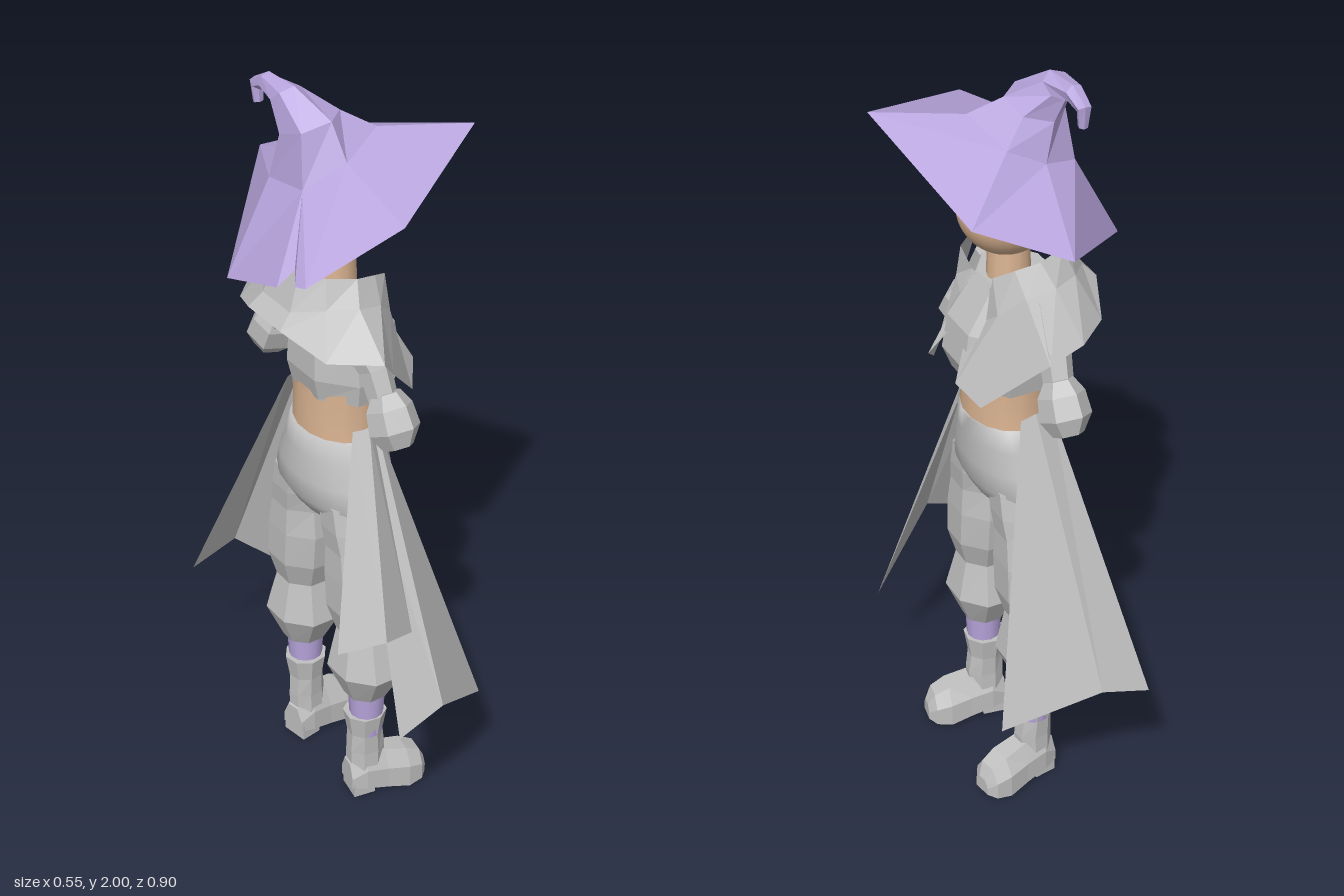
import * as THREE from 'three';

const mat = (name, color) => {
  const m = new THREE.MeshStandardMaterial({ color, side: THREE.DoubleSide });
  m.name = name;
  return m;
};

const ZC = -0.015; // the body's middle plane; the figure looks toward +x

// Loops of points joined into a skin; closed loops, optional end caps
function loft(rows, { closed = true, caps = true, smooth = false } = {}) {
  const n = rows[0].length, pos = rows.flat(2), idx = [];
  const cols = closed ? n : n - 1;
  for (let i = 0; i < rows.length - 1; i++)
    for (let j = 0; j < cols; j++) {
      const a = i * n + j, b = i * n + (j + 1) % n;
      idx.push(a, a + n, b, b, a + n, b + n);
    }
  if (caps && closed)
    for (let j = 1; j < n - 1; j++) {
      const t = (rows.length - 1) * n;
      idx.push(0, j, j + 1, t, t + j + 1, t + j);
    }
  let g = new THREE.BufferGeometry();
  g.setAttribute('position', new THREE.Float32BufferAttribute(pos, 3));
  g.setIndex(idx);
  if (!smooth) g = g.toNonIndexed();
  g.computeVertexNormals();
  return g;
}

// Level ellipse around (x, y, z)
const oval = (x, y, z, rx, rz, n = 8, turn = Math.PI / n) =>
  Array.from({ length: n }, (_, i) => {
    const a = turn + i / n * Math.PI * 2;
    return [x + rx * Math.cos(a), y, z + rz * Math.sin(a)];
  });

// Circle around c, square to dir
function hoop(c, dir, r, n = 6, turn = 0.3) {
  const q = new THREE.Quaternion().setFromUnitVectors(
    new THREE.Vector3(0, 1, 0), new THREE.Vector3(...dir).normalize());
  return oval(0, 0, 0, r, r, n, turn).map(p => {
    const v = new THREE.Vector3(...p).applyQuaternion(q);
    return [v.x + c[0], v.y + c[1], v.z + c[2]];
  });
}

// Half loop from front to back, completed by mirroring
const mirrored = half => [
  ...half.map(([x, y, d]) => [x, y, ZC + d]),
  ...half.slice().reverse().map(([x, y, d]) => [x, y, ZC - d]),
];

export function createModel() {
  const purple = mat('purple cloth', 0xb8a5dd);
  const grey = mat('grey cloth', 0xc0c0c0);
  const skin = mat('skin', 0xdcb593);
  const model = new THREE.Group();
  const add = (name, geo, material, parent = model) => {
    const m = new THREE.Mesh(geo, material);
    m.name = name;
    parent.add(m);
    return m;
  };

  // Head
  const head = add('head', new THREE.SphereGeometry(0.123, 32, 24), skin);
  head.scale.z = 0.93;
  head.position.set(0, 1.665, -0.026);

  // Hat: torn, tilted brim and a crown that curls over
  const p0 = [0.076, 1.885, 0.03], p1 = [-0.047, 1.85, 0.092], p2 = [-0.14, 1.79, 0.05];
  const p3 = [-0.146, 1.77, -0.084], p4 = [-0.05, 1.80, -0.125], p5 = [0.042, 1.845, -0.108];
  const brimOuter = [
    [0.273, 1.885, 0.14], [-0.05, 1.79, 0.325], [-0.26, 1.665, 0.246], [-0.265, 1.655, 0.21],
    [-0.233, 1.665, 0.16], [-0.276, 1.63, 0.152], [-0.27, 1.545, -0.077], [0.01, 1.69, -0.376],
    [0.2, 1.75, -0.248],
  ];
  const brimInner = [p0, p1, p2, p2, p2, p2, p3, p4, p5];
  add('hatBrim', loft([brimOuter, brimInner], { caps: false }), purple);
  add('hatCrown', loft([
    [p0, p1, p2, p3, p4, p5],
    hoop([-0.068, 1.91, -0.03], [-0.2, 1, -0.3], 0.075),
    hoop([-0.1, 1.97, -0.082], [-0.1, 0.8, -0.7], 0.038),
    hoop([-0.105, 1.975, -0.15], [0, 0, -1], 0.023),
    hoop([-0.107, 1.955, -0.192], [0, -0.8, -0.6], 0.018),
    hoop([-0.107, 1.91, -0.188], [0, -1, 0.2], 0.012),
  ]), purple);

  // Neck, cropped top and bare waist
  add('neck', new THREE.CylinderGeometry(0.05, 0.055, 0.14, 12).translate(-0.01, 1.51, ZC), skin);
  add('croppedTop', loft([
    oval(0.01, 1.21, ZC, 0.115, 0.15), oval(0.015, 1.27, ZC, 0.135, 0.16),
    oval(0.01, 1.36, ZC, 0.125, 0.15), oval(-0.03, 1.47, ZC, 0.09, 0.12),
  ]), grey);
  add('waist', loft([
    oval(0, 1.06, ZC, 0.105, 0.138, 16), oval(0, 1.15, ZC, 0.105, 0.128, 16),
    oval(0, 1.24, ZC, 0.1, 0.14, 16),
  ], { smooth: true, caps: false }), skin);

  // Shawl with a standing collar, long lapels in front
  add('shawl', loft([
    [[0.11, 1.36, 0.02], [0.17, 1.25, 0.075], [0.13, 1.2, 0.13], [0.0, 1.34, 0.235],
      [-0.06, 1.41, 0.285], [-0.16, 1.40, 0.19], [-0.21, 1.445, 0.07]],
    [[0.075, 1.41, 0.02], [0.085, 1.40, 0.07], [0.075, 1.43, 0.11], [0.02, 1.48, 0.15],
      [-0.05, 1.5, 0.165], [-0.12, 1.5, 0.13], [-0.175, 1.48, 0.06]],
    [[0.055, 1.46, 0.02], [0.06, 1.47, 0.055], [0.075, 1.52, 0.085], [0.03, 1.54, 0.11],
      [-0.03, 1.555, 0.125], [-0.1, 1.565, 0.1], [-0.137, 1.58, 0.045]],
  ].map(mirrored), { caps: false }), grey);

  // Trousers: smooth hips
  add('hips', loft([
    oval(-0.01, 0.87, ZC, 0.09, 0.175, 20), oval(-0.012, 0.92, ZC, 0.118, 0.2, 20),
    oval(-0.01, 0.98, ZC, 0.122, 0.18, 20), oval(-0.005, 1.04, ZC, 0.114, 0.155, 20),
    oval(0, 1.1, ZC, 0.11, 0.14, 20),
  ], { smooth: true }), grey);

  for (const s of [1, -1]) {
    const side = s > 0 ? 'first' : 'second';
    const z = d => ZC + s * d;

    // Puffed trouser leg: distance from middle, height, depth, width
    const tiers = [
      [0.147, 0.335, 0.058, 0.058], [0.147, 0.43, 0.1, 0.112], [0.142, 0.545, 0.075, 0.08],
      [0.138, 0.62, 0.098, 0.104], [0.132, 0.72, 0.098, 0.108], [0.125, 0.8, 0.094, 0.092],
      [0.113, 0.86, 0.1, 0.09], [0.1, 0.93, 0.1, 0.085],
    ];
    add(side + 'TrouserLeg', loft(tiers.map(([d, y, rx, rz]) => oval(-0.012, y, z(d), rx, rz))), grey);
    add(side + 'Stocking', new THREE.CylinderGeometry(0.05, 0.042, 0.16, 12)
      .translate(-0.01, 0.28, z(0.147)), purple);

    // Boot: shaft, foot and heel, toes turned out
    const boot = new THREE.Group();
    boot.name = side + 'Boot';
    boot.position.set(-0.012, 0, z(0.143));
    boot.rotation.y = -s * 0.17;
    model.add(boot);
    add('bootShaft', loft([
      oval(0, 0.06, 0, 0.05, 0.045), oval(0.002, 0.14, 0, 0.052, 0.043),
      oval(0, 0.2, 0, 0.047, 0.046), oval(0, 0.265, 0, 0.058, 0.056),
    ]), grey, boot);
    const section = ([x, low, h, w]) => [[x, low, w], [x, h * 0.6, w], [x, h, w * 0.5],
      [x, h, -w * 0.5], [x, h * 0.6, -w], [x, low, -w]];
    add('bootFoot', loft([
      [-0.05, 0.03, 0.1, 0.035], [-0.01, 0.025, 0.14, 0.046], [0.05, 0.012, 0.125, 0.048],
      [0.11, 0, 0.11, 0.055], [0.15, 0.005, 0.09, 0.046], [0.168, 0.012, 0.055, 0.025],
    ].map(section)), grey, boot);
    add('bootHeel', new THREE.BoxGeometry(0.06, 0.045, 0.075).translate(-0.015, 0.0225, 0), grey, boot);

    // Sleeve and blocky hand
    const out = s * 0.5;
    add(side + 'Sleeve', loft([
      hoop([-0.025, 1.27, z(0.235)], [-0.1, 1, -out], 0.036),
      hoop([-0.03, 1.35, z(0.2)], [-0.1, 1, -out], 0.04),
      hoop([-0.05, 1.45, z(0.13)], [-0.1, 1, -out], 0.06),
    ]), grey);
    add(side + 'Hand', loft([
      hoop([-0.022, 1.175, z(0.29)], [0, 1, -out], 0.038),
      hoop([-0.022, 1.215, z(0.275)], [0, 1, -out], 0.064),
      hoop([-0.022, 1.265, z(0.25)], [0, 1, -out], 0.058),
      hoop([-0.022, 1.298, z(0.235)], [0, 1, -out], 0.036),
    ]), grey);
  }

  // Folded coat tails: top edge above, hem below
  const tails = {
    firstTail: [
      [[0.02, 1.14, 0.12], [0, 1.165, 0.15], [-0.05, 1.15, 0.14]],
      [[0.22, 0.345, 0.313], [0.005, 0.49, 0.447], [-0.127, 0.445, 0.45]],
    ],
    firstShortTail: [
      [[-0.01, 1.16, 0.15], [-0.03, 1.17, 0.165], [-0.055, 1.15, 0.13]],
      [[-0.04, 0.69, 0.37], [-0.155, 0.745, 0.428], [-0.23, 0.675, 0.328]],
    ],
    secondTail: [
      [[0.03, 1.14, -0.16], [0, 1.165, -0.18], [-0.05, 1.15, -0.17]],
      [[0.16, 0.325, -0.316], [-0.05, 0.48, -0.455], [-0.184, 0.435, -0.455]],
    ],
  };
  for (const [name, rows] of Object.entries(tails))
    add(name, loft(rows, { closed: false }), grey);

  return model;
}
